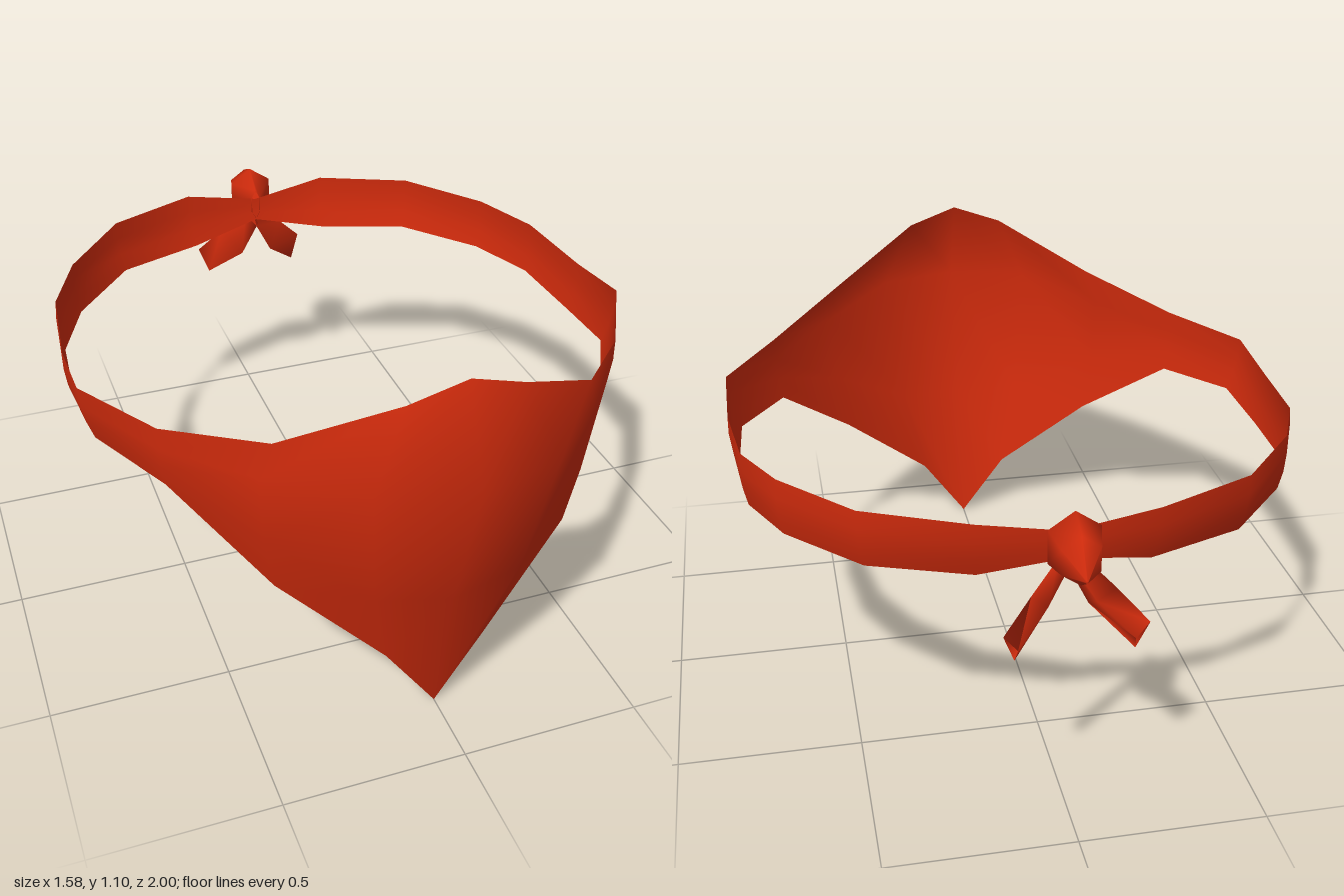
import * as THREE from 'three';

const cloth = new THREE.MeshStandardMaterial({ color: 0xcc2a0c, side: THREE.DoubleSide });

// Skins rows of points; every row has the same number of points.
function skin(name, rows, closeRows, closeAcross) {
  const n = rows[0].length, index = [];
  const iMax = closeRows ? rows.length : rows.length - 1;
  const jMax = closeAcross ? n : n - 1;
  for (let i = 0; i < iMax; i++) for (let j = 0; j < jMax; j++) {
    const i2 = (i + 1) % rows.length, j2 = (j + 1) % n;
    const a = i * n + j, b = i * n + j2, c = i2 * n + j2, d = i2 * n + j;
    index.push(a, b, d, b, c, d);
  }
  const geo = new THREE.BufferGeometry();
  geo.setAttribute('position', new THREE.Float32BufferAttribute(rows.flat(2), 3));
  geo.setIndex(index);
  geo.computeVertexNormals();
  const mesh = new THREE.Mesh(geo, cloth);
  mesh.name = name;
  return mesh;
}

const mirror = (row) => row.map(([x, y, z]) => [-x, y, z]);

// Strap column: top edge leans outward, with a slight outward bulge between the edges.
function strapColumn([xt, yt, zt, xb, yb, zb]) {
  return [0, 0.33, 0.67, 1].map((t) => {
    const bulge = t > 0 && t < 1 ? 1.01 : 1;
    return [(xt + (xb - xt) * t) * bulge, yt + (yb - yt) * t, (zt + (zb - zt) * t) * bulge];
  });
}

export function createModel() {
  const group = new THREE.Group();
  group.name = 'bandana';

  // Front triangle columns, top to bottom, from the centre outward
  const front = [
    [[0, 1.1, 0.9], [0, 0.84, 1], [0, 0.43, 0.875], [0, 0, 0.79]],
    [[0.15, 1.05, 0.885], [0.24, 0.84, 0.925], [0.2, 0.45, 0.84], [0.14, 0.195, 0.78]],
    [[0.42, 0.905, 0.725], [0.45, 0.8, 0.71], [0.44, 0.6, 0.69], [0.41, 0.43, 0.675]],
  ];
  // Strap: top x, y, z then bottom x, y, z, running round to the back
  const strap = [
    [0.64, 0.835, 0.47, 0.625, 0.647, 0.45],
    [0.79, 0.83, 0.21, 0.757, 0.668, 0.21],
    [0.79, 0.805, -0.02, 0.77, 0.65, -0.02],
    [0.76, 0.82, -0.29, 0.75, 0.662, -0.28],
    [0.675, 0.832, -0.48, 0.665, 0.672, -0.475],
    [0.495, 0.842, -0.7, 0.48, 0.68, -0.685],
    [0.23, 0.842, -0.82, 0.22, 0.68, -0.78],
  ].map(strapColumn);
  const half = [...front, ...strap];
  const back = [0.8, 0.775, 0.75, 0.725].map((y) => [0, y, -0.818]);
  const loop = [...half, back, ...half.slice(1).reverse().map(mirror)];
  group.add(skin('scarfBand', loop, true, false));

  // Knot: hexagonal sections [z, centre y, x radius, y radius]
  const knot = [
    [-0.815, 0.78, 0.015, 0.05], [-0.875, 0.795, 0.075, 0.09],
    [-0.945, 0.79, 0.055, 0.065], [-1, 0.765, 0.003, 0.003],
  ].map(([z, cy, rx, ry]) => Array.from({ length: 6 }, (_, k) => {
    const a = Math.PI / 2 - k * Math.PI / 3;
    return [rx * Math.cos(a), cy + ry * Math.sin(a), z];
  }));
  group.add(skin('knot', knot, false, true));

  // Two folded tails hanging from the knot
  const tail = [
    [[0.0, 0.7, -0.815], [0.0, 0.73, -0.85], [0.03, 0.74, -0.84]],
    [[0.05, 0.6, -0.83], [0.06, 0.63, -0.875], [0.105, 0.67, -0.885]],
    [[0.15, 0.51, -0.91], [0.145, 0.55, -0.93], [0.18, 0.59, -0.925]],
  ];
  group.add(skin('leftTail', tail, false, true));
  group.add(skin('rightTail', tail.map((r) => mirror(r).reverse()), false, true));

  return group;
}
